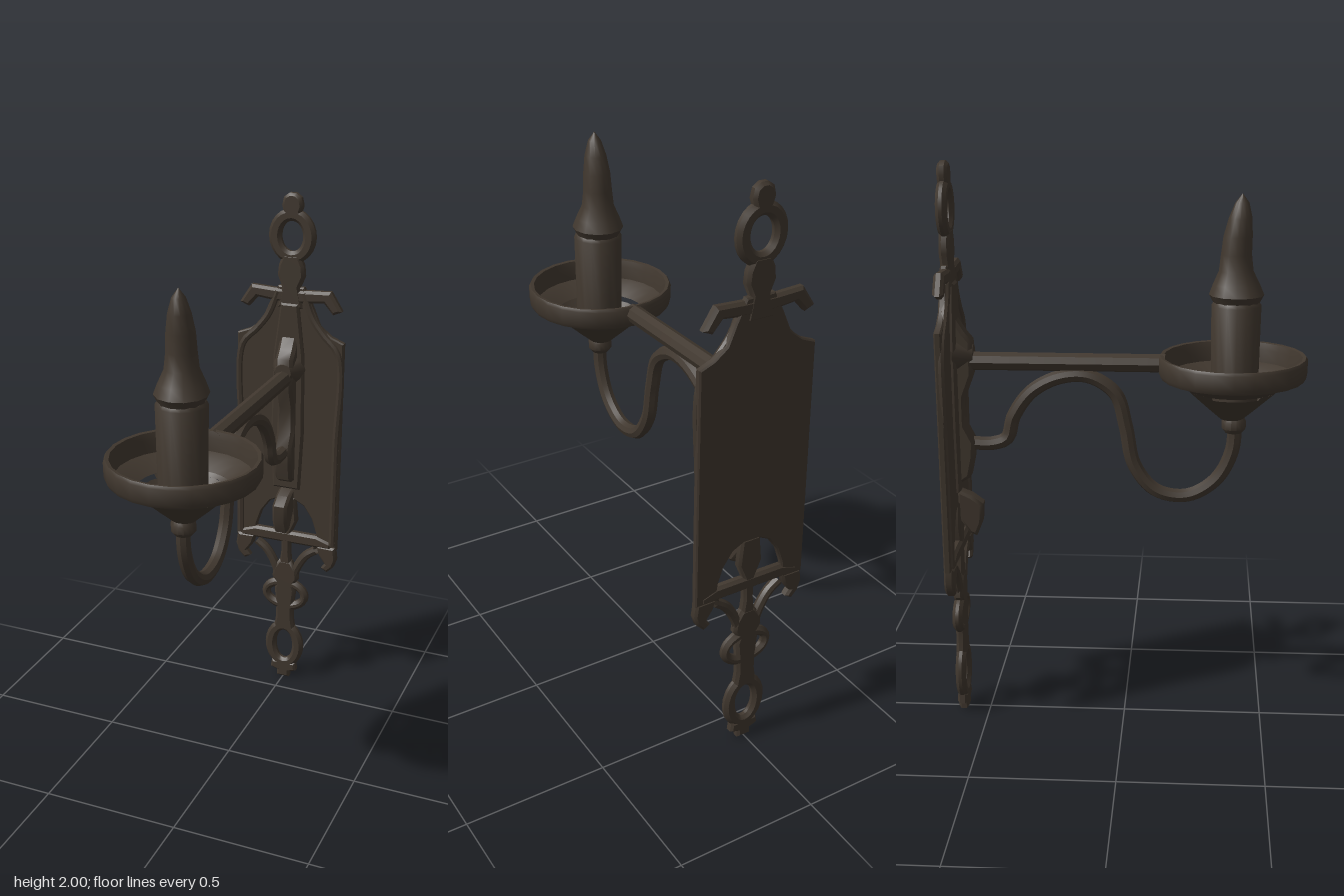
import * as THREE from 'three';
import { toCreasedNormals } from 'three/addons/utils/BufferGeometryUtils.js';

const iron = new THREE.MeshStandardMaterial({ color: 0x40372e, side: THREE.DoubleSide });
iron.name = 'dark iron';

const BACK = -0.597; // depth of the wall ornament
const CUP = 0.37; // depth of the cup centre

export function createModel() {
  const model = new THREE.Group();
  model.name = 'wallSconce';

  const add = (name, geometry, x = 0, y = 0, z = 0) => {
    const mesh = new THREE.Mesh(toCreasedNormals(geometry, 0.7), iron);
    mesh.name = name;
    mesh.position.set(x, y, z);
    model.add(mesh);
    return mesh;
  };
  const shapeOf = (pts) => new THREE.Shape(pts.map(([x, y]) => new THREE.Vector2(x, y)));
  const mirrored = (pts) => [...pts, ...pts.slice().reverse().map(([x, y]) => [-x, y])];
  const slab = (shape, depth, bevel = 0.005) => {
    const g = new THREE.ExtrudeGeometry(shape, {
      depth: depth - 2 * bevel, bevelThickness: bevel, bevelSize: bevel,
      bevelOffset: -bevel, bevelSegments: 1, curveSegments: 12,
    });
    return g.translate(0, 0, -depth / 2 + bevel);
  };
  const tube = (name, pts, r, steps = 40) => add(name, new THREE.TubeGeometry(
    new THREE.CatmullRomCurve3(pts.map((p) => new THREE.Vector3(...p))), steps, r, 8));
  const lathe = (name, pts, z, seg = 20, start = 0, len = Math.PI * 2) => add(name,
    new THREE.LatheGeometry(pts.map(([r, y]) => new THREE.Vector2(r, y)), seg, start, len), 0, 0, z);
  // Shape drawn in (z, y) and given a width along x
  const sideSlab = (name, pts, width, bevel) => add(name,
    slab(shapeOf(pts.map(([z, y]) => [-z, y])), width, bevel).rotateY(Math.PI / 2));
  const ring = (name, y, rx, ry, hx, hy) => {
    const s = new THREE.Shape().absellipse(0, 0, rx, ry, 0, Math.PI * 2);
    s.holes.push(new THREE.Path().absellipse(0, 0, hx, hy, 0, Math.PI * 2));
    add(name, slab(s, 0.036, 0.012), 0, y, BACK);
  };

  // Back plate with an arched opening at its foot
  const plate = shapeOf([
    ...mirrored([[0.21, 0.62], [0.21, 1.465], [0.16, 1.485], [0.115, 1.52], [0.085, 1.59], [0.05, 1.66]]),
    [-0.13, 0.62], [-0.125, 0.68], [-0.105, 0.74], [-0.07, 0.79], [-0.03, 0.81],
    [0.03, 0.81], [0.07, 0.79], [0.105, 0.74], [0.125, 0.68], [0.13, 0.62],
  ]);
  add('backPlate', slab(plate, 0.026), 0, 0, -0.6);
  add('footBar', slab(shapeOf(mirrored([[0.19, 0.62], [0.19, 0.65], [0.13, 0.67]])), 0.036, 0.01), 0, 0, BACK);

  // Raised borders, curled feet and struts, one on each side
  for (const s of [-1, 1]) {
    tube('plateBorder', [[s * 0.192, 0.64, -0.59], [s * 0.192, 1.05, -0.59], [s * 0.19, 1.42, -0.59],
      [s * 0.13, 1.49, -0.59], [s * 0.085, 1.55, -0.59], [s * 0.05, 1.64, -0.59]], 0.014);
    add('curledFoot', slab(shapeOf([[0.13, 0.63], [0.14, 0.59], [0.165, 0.555], [0.15, 0.535], [0.175, 0.52],
      [0.2, 0.545], [0.212, 0.58], [0.205, 0.63]].map(([x, y]) => [s * x, y])), 0.036, 0.008), 0, 0, BACK);
    tube('strut', [[s * 0.125, 0.605, BACK], [s * 0.085, 0.575, BACK], [s * 0.05, 0.52, BACK],
      [s * 0.025, 0.45, BACK]], 0.018, 16);
  }

  // Hanging ornament
  add('footStem', slab(shapeOf(mirrored([[0.03, 0.48], [0.018, 0.58], [0.02, 0.66], [0.045, 0.72], [0.035, 0.82]])),
    0.034, 0.008), 0, 0, BACK);
  add('knot', slab(shapeOf(mirrored([[0.035, 0.43], [0.055, 0.46], [0.05, 0.5], [0.025, 0.54]])), 0.036, 0.01), 0, 0, BACK);
  ring('middleLink', 0.385, 0.098, 0.072, 0.066, 0.034);
  add('linkStem', slab(shapeOf(mirrored([[0.045, 0.22], [0.036, 0.28], [0.036, 0.33], [0.044, 0.41], [0.03, 0.45]])),
    0.036, 0.01), 0, 0, BACK);
  ring('lowerLink', 0.15, 0.081, 0.108, 0.036, 0.066);
  add('tailTip', slab(shapeOf(mirrored([[0.026, 0], [0.026, 0.025], [0.055, 0.035], [0.05, 0.07]])), 0.036, 0.008), 0, 0, BACK);

  // Crown ornament
  add('crossBar', slab(shapeOf(mirrored([[0.04, 1.6], [0.13, 1.61], [0.165, 1.57], [0.2, 1.585], [0.155, 1.655],
    [0.06, 1.65]])), 0.036, 0.01), 0, 0, BACK);
  add('crownNeck', slab(shapeOf(mirrored([[0.05, 1.58], [0.035, 1.66], [0.052, 1.7], [0.048, 1.74], [0.03, 1.78]])),
    0.038, 0.01), 0, 0, BACK);
  ring('crownLink', 1.845, 0.09, 0.1, 0.042, 0.055);
  add('crownBud', slab(shapeOf(mirrored([[0.03, 1.92], [0.04, 1.955], [0.033, 1.985], [0.012, 2]])), 0.036, 0.01), 0, 0, BACK);

  // Arm mounting on the plate
  sideSlab('armMount', [[-0.59, 1.5], [-0.57, 1.47], [-0.545, 1.43], [-0.52, 1.4], [-0.52, 1.28], [-0.55, 1.2],
    [-0.55, 1.1], [-0.52, 1.04], [-0.525, 0.98], [-0.54, 0.91], [-0.59, 0.88]], 0.07, 0.012);
  add('mountFlare', new THREE.CylinderGeometry(0.032, 0.066, 0.065, 12).rotateX(Math.PI / 2), 0, 1.35, -0.55);
  add('centreRib', slab(shapeOf(mirrored([[0.055, 0.86], [0.065, 1.1], [0.06, 1.4], [0.035, 1.6]])), 0.028, 0.008), 0, 0, -0.585);
  sideSlab('lowerHook', [[-0.59, 0.86], [-0.54, 0.84], [-0.5, 0.81], [-0.505, 0.74], [-0.525, 0.69],
    [-0.55, 0.7], [-0.59, 0.76]], 0.06, 0.01);

  // Straight arm and the scroll beneath it
  tube('arm', [[0, 1.325, -0.57], [0, 1.325, -0.2], [0, 1.325, 0.14]], 0.032, 12);
  tube('scroll', [[0, 1.16, 0.38], [0, 1.02, 0.375], [0, 0.91, 0.32], [0, 0.85, 0.22], [0, 0.868, 0.11],
    [0, 0.96, 0.035], [0, 1.1, 0.005], [0, 1.215, -0.03], [0, 1.275, -0.12], [0, 1.272, -0.22],
    [0, 1.22, -0.32], [0, 1.13, -0.385], [0, 1.05, -0.41], [0, 1.03, -0.46], [0, 1.03, -0.54]], 0.025, 80);

  // Cup: collar, bowl with two slits, and an upright rim
  lathe('collar', [[0, 1.085], [0.03, 1.085], [0.042, 1.1], [0.042, 1.125], [0.034, 1.14], [0.05, 1.16]], CUP + 0.008, 14);
  lathe('bowl', [[0.04, 1.135], [0.085, 1.175], [0.145, 1.23]], CUP);
  for (const s of [-1, 1]) {
    // slits lie on the left and right of the bowl
    lathe('bowlBridge', [[0.145, 1.23], [0.157, 1.242]], CUP, 10,
      s > 0 ? -0.95 : Math.PI - 1.1, s > 0 ? 1.9 : 2.2);
  }
  lathe('bowlEdge', [[0.157, 1.242], [0.205, 1.272], [0.24, 1.285]], CUP, 24);
  lathe('rim', [[0.225, 1.285], [0.245, 1.28], [0.253, 1.295], [0.254, 1.345], [0.248, 1.355], [0.236, 1.353],
    [0.23, 1.33], [0.225, 1.285]], CUP, 24);

  // Candle and flame-shaped bulb leaning slightly forward
  lathe('candle', [[0, 1.2], [0.08, 1.2], [0.084, 1.53], [0.076, 1.542], [0, 1.542]], CUP + 0.007, 16);
  const flame = new THREE.LatheGeometry([[0, 1.535], [0.075, 1.54], [0.088, 1.565], [0.075, 1.6], [0.055, 1.645],
    [0.049, 1.7], [0.046, 1.76], [0.037, 1.82], [0.022, 1.87], [0, 1.9]].map((p) => new THREE.Vector2(...p)), 12);
  const pos = flame.attributes.position;
  for (let i = 0; i < pos.count; i++) {
    const t = (pos.getY(i) - 1.535) / 0.365;
    pos.setZ(i, pos.getZ(i) * 1.05 - 0.012 * Math.sin(t * Math.PI * 1.6) * t);
  }
  add('flame', flame, 0, 0, CUP + 0.007);

  return model;
}
